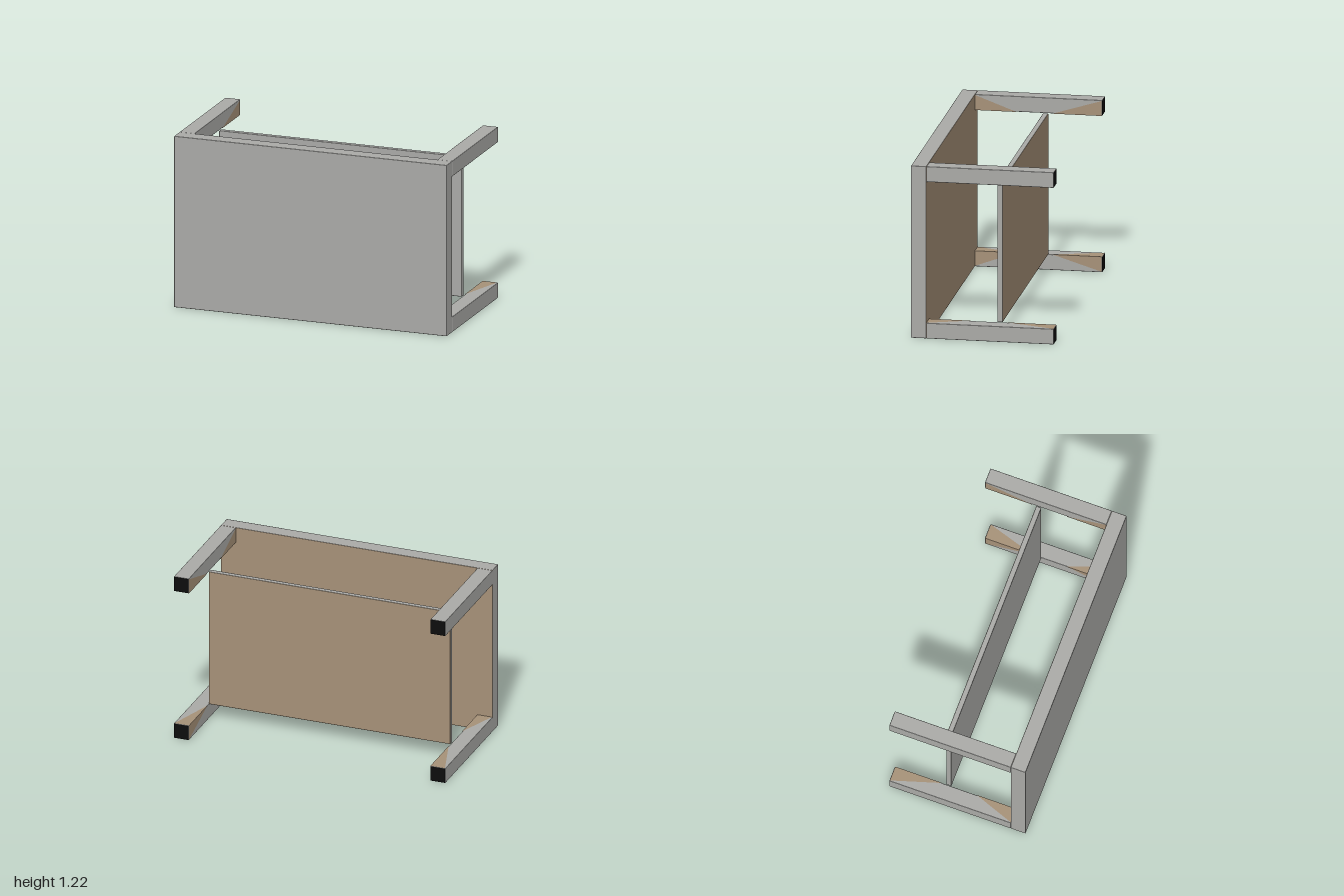
import * as THREE from 'three';
import { RoundedBoxGeometry } from 'three/addons/geometries/RoundedBoxGeometry.js';

const HEIGHT = 1.224, LEG = 0.11;
const TIP = -0.498, TOP_BACK = 0.39, TOP_FRONT = 0.498;

export function createModel() {
  const make = (name, color, side = THREE.FrontSide) => {
    const m = new THREE.MeshStandardMaterial({ color, side });
    m.name = name;
    return m;
  };
  const grey = make('grey', 0xaaaaa7);
  const wood = make('wood', 0xa69178, THREE.DoubleSide);
  const black = make('black', 0x0c0c0c);

  const model = new THREE.Group();
  model.name = 'table';

  // Softly edged block whose back face (-z) takes its own material
  const block = (name, [x0, x1], [y0, y1], [z0, z1], back, parent = model) => {
    const geo = new RoundedBoxGeometry(x1 - x0, y1 - y0, z1 - z0, 1, 0.004);
    const mesh = new THREE.Mesh(geo, [grey, grey, grey, grey, grey, back]);
    mesh.position.set((x0 + x1) / 2, (y0 + y1) / 2, (z0 + z1) / 2);
    mesh.name = name;
    parent.add(mesh);
  };

  // Table top standing on its long edge, and the shelf between the legs
  block('tableTop', [-1, 1], [0, HEIGHT], [TOP_BACK, TOP_FRONT], wood);
  block('shelf', [-1 + LEG, 1 - LEG], [LEG, HEIGHT - LEG], [-0.122, -0.085], wood);

  // Wood-coloured corners on the two inner faces of a leg
  const patches = (sx, sy, parent) => {
    const mid = HEIGHT / 2, gap = 0.001;
    const xIn = sx * (1 - LEG - gap), xOut = sx * 0.996;
    const yIn = mid + sy * (mid - LEG - gap), yOut = mid + sy * (mid - 0.004);
    for (const [zEnd, zPoint] of [[TOP_BACK, 0.1], [TIP + 0.004, -0.15]]) {
      const side = [[xIn, yIn, zEnd], [xIn, yOut, zEnd], [xIn, yIn, zPoint]];
      const level = [[xIn, yIn, zEnd], [xOut, yIn, zEnd], [xIn, yIn, zPoint]];
      for (const corners of [side, level]) {
        const geo = new THREE.BufferGeometry();
        geo.setAttribute('position', new THREE.Float32BufferAttribute(corners.flat(), 3));
        geo.computeVertexNormals();
        const mesh = new THREE.Mesh(geo, wood);
        mesh.name = 'legWoodPatch';
        parent.add(mesh);
      }
    }
  };

  // Four square legs with black ends
  for (const sx of [-1, 1]) {
    for (const sy of [-1, 1]) {
      const leg = new THREE.Group();
      leg.name = (sy > 0 ? 'upper' : 'lower') + (sx > 0 ? 'Left' : 'Right') + 'Leg';
      const xs = sx > 0 ? [1 - LEG, 1] : [-1, -1 + LEG];
      const ys = sy > 0 ? [HEIGHT - LEG, HEIGHT] : [0, LEG];
      block('legPost', xs, ys, [TIP, TOP_BACK], black, leg);
      patches(sx, sy, leg);
      model.add(leg);
    }
  }
  return model;
}
